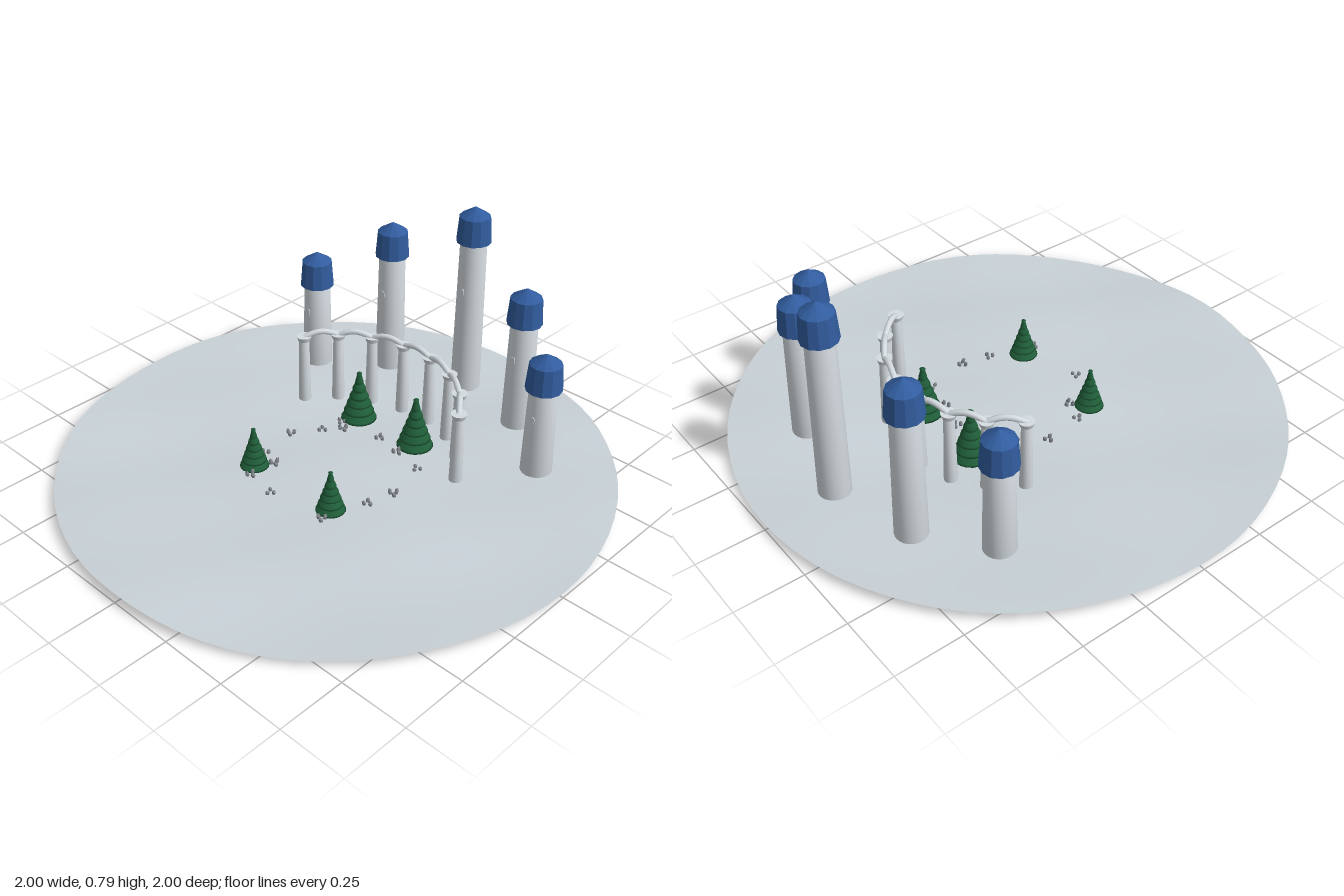
import * as THREE from 'three';
import { mergeVertices } from 'three/addons/utils/BufferGeometryUtils.js';

const mat = (name, color, extra = {}) => {
  const m = new THREE.MeshStandardMaterial({ color, ...extra });
  m.name = name;
  return m;
};

// Gentle rolling height of the snowfield
const groundY = (x, z) =>
  0.028 + 0.005 * Math.sin(5 * x + 2 * z) + 0.004 * Math.sin(7 * z - 3 * x + 1) + 0.003 * Math.cos(11 * x + 6 * z);

const lathe = (pts, sides) => new THREE.LatheGeometry(pts.map(([r, y]) => new THREE.Vector2(r, y)), sides);

export function createModel() {
  const model = new THREE.Group();
  model.name = 'winterCourt';

  const snow = mat('snow', 0xc8d1d7, { side: THREE.DoubleSide });
  const stone = mat('paleStone', 0xd5dce1);
  const roofBlue = mat('roofBlue', 0x315c9e, { flatShading: true });
  const pine = mat('pineGreen', 0x1f5c38);
  const rock = mat('rockGrey', 0x808488, { flatShading: true });

  const add = (parent, name, geometry, material, x = 0, y = 0, z = 0) => {
    const mesh = new THREE.Mesh(geometry, material);
    mesh.name = name;
    mesh.position.set(x, y, z);
    parent.add(mesh);
    return mesh;
  };

  // Snowfield: a disc with displaced vertices
  let disc = new THREE.RingGeometry(0, 1, 72, 20).rotateX(-Math.PI / 2);
  disc.deleteAttribute('uv');
  disc.deleteAttribute('normal');
  disc = mergeVertices(disc, 1e-4);
  const pos = disc.attributes.position;
  for (let i = 0; i < pos.count; i++) pos.setY(i, groundY(pos.getX(i), pos.getZ(i)));
  disc.computeVertexNormals();
  add(model, 'snowfield', disc, snow);

  // Towers: x, z, roof tip height
  const towers = [[-0.547, -0.46, 0.51], [-0.32, -0.643, 0.65], [0, -0.732, 0.788], [0.318, -0.643, 0.604], [0.547, -0.46, 0.51]];
  for (const [x, z, tip] of towers) {
    const tower = new THREE.Group();
    tower.name = 'tower';
    tower.position.set(x, 0, z);
    model.add(tower);
    const eave = tip - 0.138;
    add(tower, 'towerShaft', lathe([[0, 0], [0.058, 0], [0.05, eave + 0.03], [0, eave + 0.03]], 24), stone);
    add(tower, 'towerRoof', lathe([[0, 0], [0.066, 0], [0.058, 0.1], [0, 0.138]], 12), roofBlue, 0, eave, 0);
    // Small arched window set in the front of the shaft
    const wy = (tip - 0.12) * 0.68;
    const wz = 0.058 - 0.008 * wy / eave;
    const arch = new THREE.Shape();
    arch.moveTo(-0.009, -0.012);
    arch.lineTo(0.009, -0.012);
    arch.lineTo(0.009, 0.004);
    arch.absarc(0, 0.004, 0.009, 0, Math.PI);
    const win = new THREE.ExtrudeGeometry(arch, { depth: 0.005, bevelEnabled: false, curveSegments: 6 });
    add(tower, 'towerWindow', win, stone, 0, wy, wz - 0.003);
  }

  // Colonnade: eight columns on an arc, joined by small arches
  const colonnade = new THREE.Group();
  colonnade.name = 'colonnade';
  model.add(colonnade);
  const arcPoint = (i, y) => {
    const a = Math.PI / 6 + (i / 7) * Math.PI * 2 / 3;
    return new THREE.Vector3(-0.435 * Math.cos(a), y, -0.435 * Math.sin(a));
  };
  const columnGeo = lathe([[0, 0], [0.025, 0], [0.019, 0.29], [0, 0.29]], 14);
  const capitalGeo = new THREE.CylinderGeometry(0.029, 0.023, 0.018, 14);
  for (let i = 0; i < 8; i++) {
    const p = arcPoint(i, 0);
    add(colonnade, 'column', columnGeo, stone, p.x, 0, p.z);
    add(colonnade, 'capital', capitalGeo, stone, p.x, 0.296, p.z);
    if (i === 7) continue;
    const a = arcPoint(i, 0.3), b = arcPoint(i + 1, 0.3);
    const path = [];
    for (let k = 0; k <= 6; k++) {
      const q = a.clone().lerp(b, k / 6);
      q.y += 0.02 * Math.sin((k / 6) * Math.PI);
      path.push(q);
    }
    add(colonnade, 'archRib', new THREE.TubeGeometry(new THREE.CatmullRomCurve3(path), 14, 0.011, 8), stone);
  }

  // Pines: stacked drooping tiers with a rounded tip
  const profile = [[0, 0.02]];
  for (let i = 0; i < 6; i++) {
    const r = 0.3 - i * 0.046, y = 0.02 + i * 0.145;
    profile.push([r * 0.8, y], [r, y + 0.025], [r * 0.95, y + 0.06], [r * 0.68, y + 0.14]);
  }
  profile.push([0.04, 0.92], [0.045, 0.96], [0, 1]);
  const pineGeo = lathe(profile, 18);
  const pines = [[0.14, -0.27, 0.212, 0.068], [0.19, 0.222, 0.168, 0.053]];
  for (const [px, z, h, r] of pines) for (const s of [-1, 1]) {
    const tree = add(model, 'pineTree', pineGeo, pine, s * px, groundY(s * px, z) - 0.003, z);
    tree.scale.set(r / 0.3, h, r / 0.3);
  }

  // Rock clusters scattered in a ring around the court
  const spots = [[0.015, -0.217], [-0.165, -0.2], [-0.125, -0.17], [-0.177, -0.11], [-0.243, -0.01], [0.125, -0.19], [0.243, -0.163],
    [0.283, 0.005], [0.257, 0.11], [-0.22, 0.143], [-0.143, 0.168], [-0.03, 0.296], [0.203, 0.28], [-0.155, 0.272]];
  const rockGeo = new THREE.IcosahedronGeometry(0.01, 0);
  spots.forEach(([x, z], i) => {
    for (let k = 0; k < 3; k++) {
      const a = i * 1.3 + k * 2.1, d = 0.013;
      const rx = x + d * Math.cos(a), rz = z + d * Math.sin(a);
      const r = add(model, 'rock', rockGeo, rock, rx, groundY(rx, rz) + 0.006, rz);
      r.scale.set(0.8, 1.3 + 0.4 * Math.sin(a * 3), 0.8);
      r.rotation.set(0.3 * Math.sin(a), a, 0.3 * Math.cos(a));
    }
  });

  return model;
}
